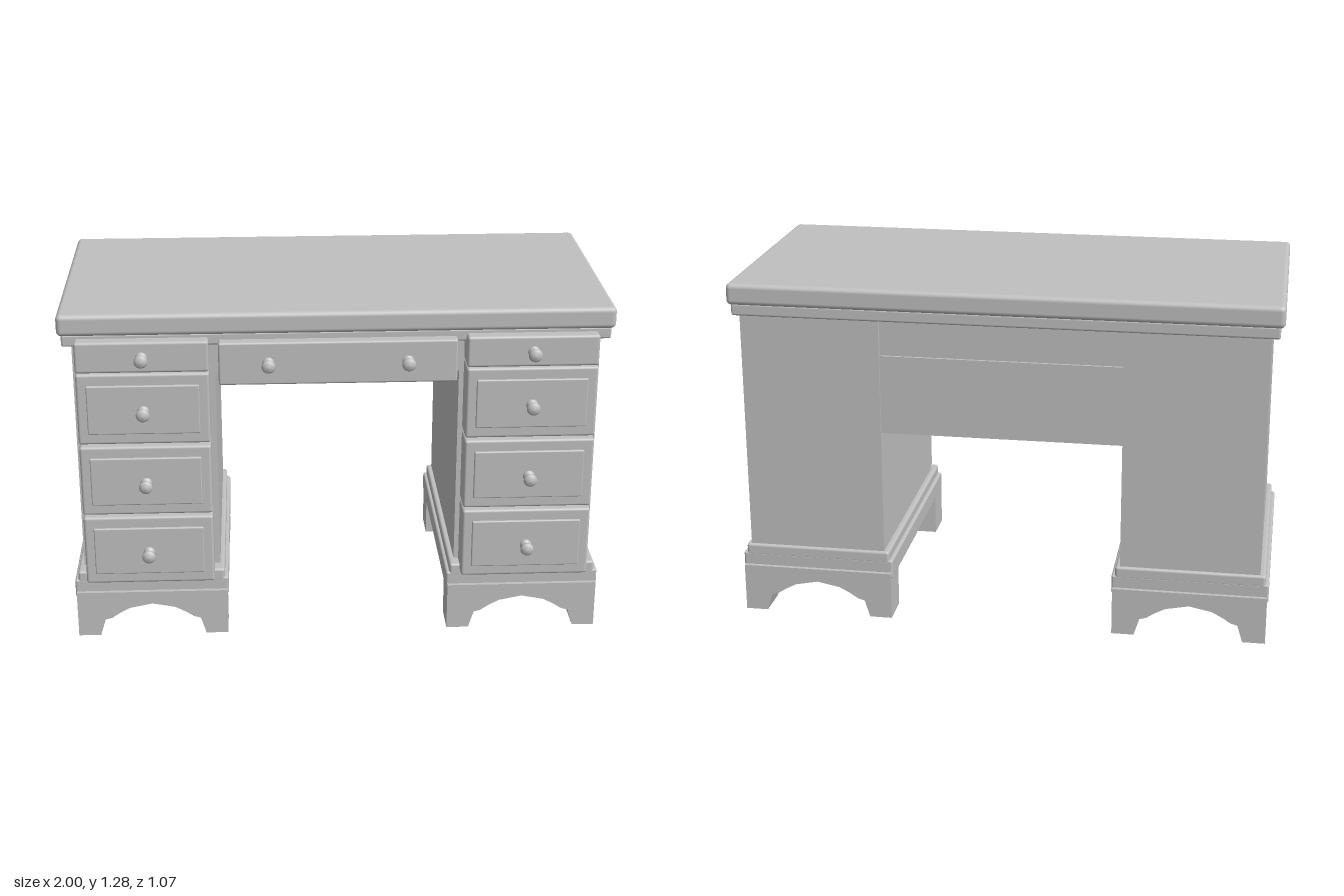
import * as THREE from 'three';
import { RoundedBoxGeometry } from 'three/addons/geometries/RoundedBoxGeometry.js';

const grey = new THREE.MeshStandardMaterial({ color: 0xc0c0c0 });
grey.name = 'plain grey';

function add(parent, name, geometry) {
  const mesh = new THREE.Mesh(geometry, grey);
  mesh.name = name;
  parent.add(mesh);
  return mesh;
}

// Box given by its limits on each axis; r rounds the edges
function block(parent, name, [x0, x1], [y0, y1], [z0, z1], r = 0) {
  const size = [x1 - x0, y1 - y0, z1 - z0];
  const geometry = r ? new RoundedBoxGeometry(...size, 3, r) : new THREE.BoxGeometry(...size);
  const mesh = add(parent, name, geometry);
  mesh.position.set((x0 + x1) / 2, (y0 + y1) / 2, (z0 + z1) / 2);
  return mesh;
}

// Turned knob pointing along +z
const knobProfile = [
  [0, 0], [0.019, 0], [0.022, 0.005], [0.019, 0.011], [0.011, 0.016], [0.010, 0.024],
  [0.015, 0.031], [0.023, 0.037], [0.025, 0.044], [0.022, 0.052], [0.013, 0.058], [0, 0.06],
].map(([r, h]) => new THREE.Vector2(r, h));
const knobGeometry = new THREE.LatheGeometry(knobProfile, 20).rotateX(Math.PI / 2);

function knob(parent, x, y, z) {
  add(parent, 'knob', knobGeometry).position.set(x, y, z);
}

// Bracket foot board with a stepped arch cut from its lower edge
function footGeometry() {
  const arch = [[0.2, 0], [0.18, 0.065], [0.155, 0.072], [0.125, 0.092], [0.085, 0.113], [0, 0.13]];
  const shape = new THREE.Shape();
  shape.moveTo(-0.283, 0);
  arch.forEach(([x, y]) => shape.lineTo(-x, y));
  arch.slice(0, -1).reverse().forEach(([x, y]) => shape.lineTo(x, y));
  shape.lineTo(0.283, 0);
  shape.lineTo(0.283, 0.18);
  shape.lineTo(-0.283, 0.18);
  return new THREE.ExtrudeGeometry(shape, { depth: 0.13, bevelEnabled: false });
}

function pedestal(name, x) {
  const g = new THREE.Group();
  g.name = name;
  g.position.x = x;

  block(g, 'cabinet', [-0.255, 0.258], [0.2, 1.17], [-0.505, 0.365]);
  block(g, 'plinth', [-0.288, 0.288], [0.155, 0.228], [-0.515, 0.42], 0.008);
  block(g, 'plinthMoulding', [-0.275, 0.275], [0.215, 0.262], [-0.515, 0.42], 0.01);

  const foot = footGeometry();
  add(g, 'frontFoot', foot).position.z = 0.305;
  add(g, 'backFoot', foot).position.z = -0.53;

  // Three deep drawers with raised panels
  for (const y of [0.373, 0.654, 0.935]) {
    block(g, 'drawer', [-0.238, 0.238], [y - 0.135, y + 0.135], [0.36, 0.47], 0.01);
    block(g, 'drawerPanel', [-0.202, 0.202], [y - 0.093, y + 0.093], [0.46, 0.479], 0.005);
    knob(g, 0, y - 0.004, 0.477);
  }
  // Shallow drawer under the top
  block(g, 'topDrawer', [-0.238, 0.238], [1.074, 1.19], [0.36, 0.47], 0.01);
  knob(g, 0, 1.132, 0.468);
  return g;
}

export function createModel() {
  const desk = new THREE.Group();
  desk.name = 'pedestalDesk';

  // Top and the moulding under it
  block(desk, 'deskTop', [-1, 1], [1.2, 1.28], [-0.53, 0.435], 0.018);
  block(desk, 'topMoulding', [-0.985, 0.985], [1.16, 1.205], [-0.52, 0.425], 0.008);

  desk.add(pedestal('rightPedestal', -0.7), pedestal('leftPedestal', 0.7));

  // Kneehole: drawer case, back panel and wide drawer
  block(desk, 'drawerCase', [-0.45, 0.45], [1.025, 1.17], [-0.485, 0.365]);
  block(desk, 'backPanel', [-0.45, 0.45], [0.73, 1.025], [-0.495, -0.465]);
  block(desk, 'centreDrawer', [-0.428, 0.428], [1.02, 1.18], [0.36, 0.466], 0.008);
  for (const x of [-0.25, 0.25]) knob(desk, x, 1.104, 0.465);

  return desk;
}
